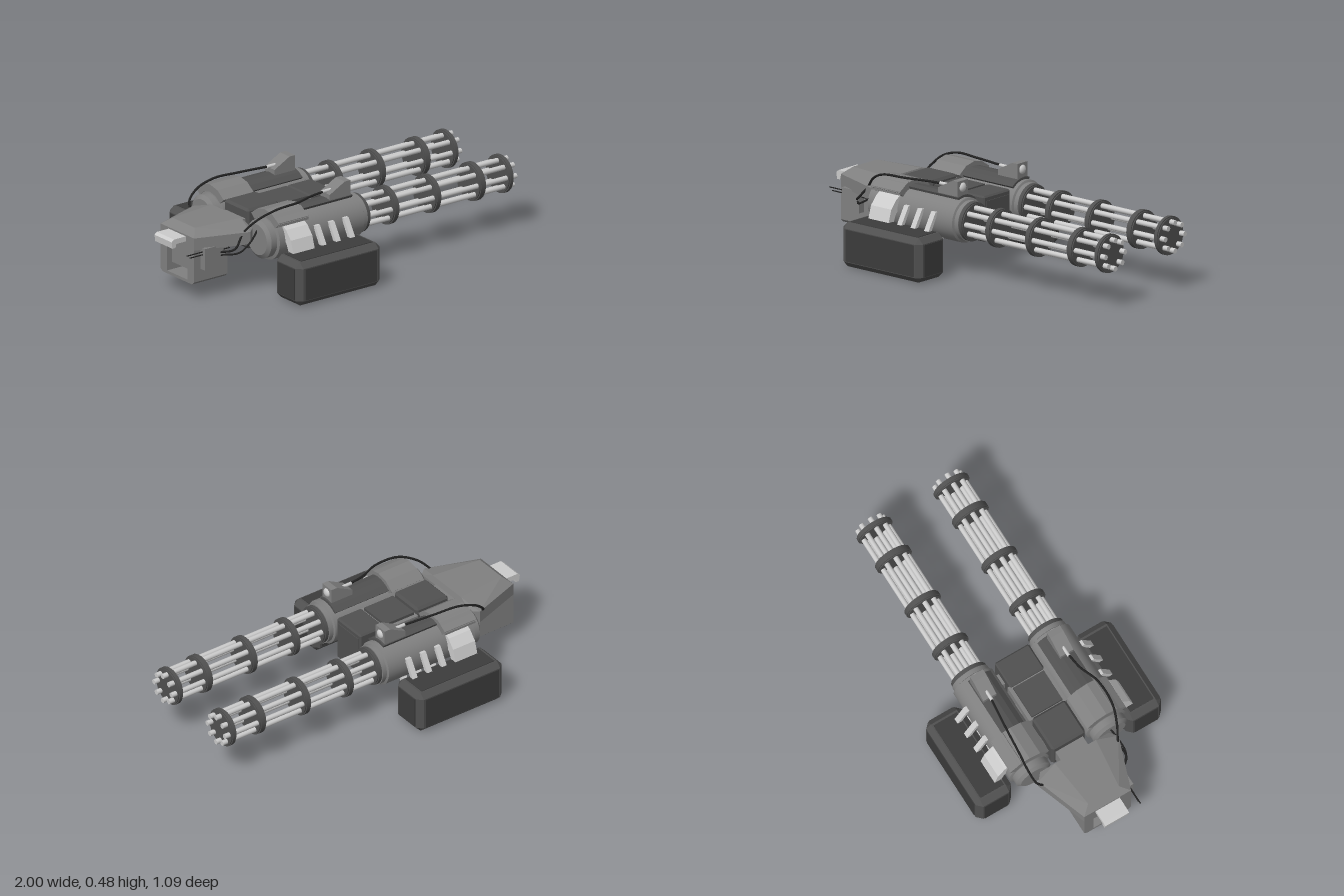
import * as THREE from 'three';
import { ConvexGeometry } from 'three/addons/geometries/ConvexGeometry.js';

const mat = (color, flatShading = false) => new THREE.MeshStandardMaterial({ color, flatShading, side: THREE.DoubleSide });
const light = mat(0xcccccc), grey = mat(0x808080), greyFlat = mat(0x808080, true);
const dark = mat(0x505050), darkFlat = mat(0x505050, true), black = mat(0x222222);
const V = (x, y, z) => new THREE.Vector3(x, y, z);

function add(parent, name, geometry, material) {
  const mesh = new THREE.Mesh(geometry, material);
  mesh.name = name;
  parent.add(mesh);
  return mesh;
}

// Box given by its limits on each axis
function box(parent, name, [x0, x1], [y0, y1], [z0, z1], material) {
  const g = new THREE.BoxGeometry(x1 - x0, y1 - y0, z1 - z0);
  g.translate((x0 + x1) / 2, (y0 + y1) / 2, (z0 + z1) / 2);
  return add(parent, name, g, material);
}

// Box with every edge cut by c
function chamferBox(parent, name, [x0, x1], [y0, y1], [z0, z1], c, material) {
  const pts = [];
  for (const [x, sx] of [[x0, 1], [x1, -1]])
    for (const [y, sy] of [[y0, 1], [y1, -1]])
      for (const [z, sz] of [[z0, 1], [z1, -1]])
        pts.push(V(x, y + sy * c, z + sz * c), V(x + sx * c, y, z + sz * c), V(x + sx * c, y + sy * c, z));
  return add(parent, name, new ConvexGeometry(pts), material);
}

// Cylinder along x
function rod(parent, name, x0, x1, r, y, z, material, sides = 32) {
  const g = new THREE.CylinderGeometry(r, r, x1 - x0, sides);
  g.rotateZ(Math.PI / 2);
  g.translate((x0 + x1) / 2, y, z);
  return add(parent, name, g, material);
}

// Outline in the z-y plane, extruded from x0 to x1
function slabX(parent, name, zy, x0, x1, material) {
  const shape = new THREE.Shape(zy.map(([z, y]) => new THREE.Vector2(-z, y)));
  const g = new THREE.ExtrudeGeometry(shape, { depth: x1 - x0, bevelEnabled: false });
  g.rotateY(Math.PI / 2);
  g.translate(x0, 0, 0);
  return add(parent, name, g, material);
}

function cable(parent, name, pts, r = 0.006) {
  const curve = new THREE.CatmullRomCurve3(pts.map(p => V(...p)));
  return add(parent, name, new THREE.TubeGeometry(curve, 48, r, 8), black);
}

// One rotary gun with its sight, s is the side
function gun(parent, s) {
  const g = new THREE.Group();
  g.name = s > 0 ? 'frontGun' : 'backGun';
  parent.add(g);
  const y = 0.28, z = s * 0.225;

  // Round housing with stepped ends
  const profile = [[0, -0.58], [0.08, -0.58], [0.1, -0.565], [0.1, -0.53], [0.115, -0.525], [0.115, 0.01], [0.104, 0.015], [0.104, 0.04], [0, 0.04]];
  const pts = [];
  profile.forEach(([r, x], i) => { // doubled points keep the steps sharp
    pts.push(new THREE.Vector2(r, x));
    if (i && i < profile.length - 1) pts.push(new THREE.Vector2(r, x + 0.0001));
  });
  const lathe = new THREE.LatheGeometry(pts, 40);
  lathe.rotateZ(-Math.PI / 2);
  lathe.translate(0, y, z);
  add(g, 'housing', lathe, grey);

  // Barrels and the discs that hold them
  for (let i = 0; i < 8; i++) {
    const a = i * Math.PI / 4;
    rod(g, 'barrel', 0.02, 1, 0.0135, y + 0.073 * Math.cos(a), z + 0.073 * Math.sin(a), light, 14);
  }
  for (const [x, w] of [[0.05, 0.03], [0.23, 0.036], [0.495, 0.036], [0.775, 0.04], [0.955, 0.03]]) {
    rod(g, 'barrelDisc', x - w / 2, x + w / 2, 0.094, y, z, dark);
    rod(g, 'discBand', x - w / 2 + 0.006, x + w / 2 - 0.006, 0.1, y, z, dark);
  }

  // Faceted armour over the housing
  const arc = (r, from, to, n) => Array.from({ length: n + 1 }, (_, i) => {
    const a = from + (to - from) * i / n;
    return [z + s * r * Math.sin(a), y + r * Math.cos(a)];
  });
  slabX(g, 'rearCover', [...arc(0.15, -0.85, 0.85, 4), ...arc(0.11, 0.85, -0.85, 4)], -0.53, -0.34, greyFlat);
  slabX(g, 'topCover', [...arc(0.128, -0.75, 0.35, 4), ...arc(0.11, 0.35, -0.75, 4)], -0.34, -0.01, darkFlat);
  slabX(g, 'coverLip', [[s * 0.27, 0.425], [s * 0.335, 0.385], [s * 0.335, 0.365], [s * 0.26, 0.41]], -0.53, -0.34, greyFlat);

  // Wedge sight with a round lens
  const side = new THREE.Shape([[-0.15, 0.4], [-0.02, 0.4], [-0.02, 0.48], [-0.055, 0.48], [-0.15, 0.43]].map(p => new THREE.Vector2(...p)));
  const wedge = new THREE.ExtrudeGeometry(side, { depth: 0.076, bevelEnabled: false });
  wedge.translate(0, 0, z - 0.038);
  add(g, 'sight', wedge, greyFlat);
  const lens = new THREE.SphereGeometry(0.024, 24, 12);
  lens.scale(0.6, 1, 1);
  lens.translate(-0.022, 0.445, z);
  add(g, 'sightLens', lens, light);
  rod(g, 'cablePlug', -0.17, -0.11, 0.009, 0.44, z, light, 12);
}

// Ammunition box with the chute and struts that carry it
function ammo(parent, s) {
  const g = new THREE.Group();
  g.name = s > 0 ? 'frontAmmoBox' : 'backAmmoBox';
  parent.add(g);
  const zr = (a, b) => s > 0 ? [a, b] : [-b, -a];
  chamferBox(g, 'boxShell', [-0.56, -0.03], [0.003, 0.232], zr(0.335, 0.542), 0.028, darkFlat);
  const panel = mat(0x3c3c3c);
  box(g, 'sidePanels', [-0.52, -0.07], [0.035, 0.2], zr(0.332, 0.545), panel);
  box(g, 'endPanels', [-0.564, -0.026], [0.035, 0.2], zr(0.37, 0.507), panel);
  box(g, 'lidPanels', [-0.52, -0.07], [0, 0.235], zr(0.37, 0.507), panel);

  // Curved feed chute
  slabX(g, 'feedChute', [[0.3, 0.37], [0.345, 0.345], [0.385, 0.3], [0.408, 0.225], [0.37, 0.225], [0.35, 0.27], [0.32, 0.3]]
    .map(([z, y]) => [s * z, y]), -0.49, -0.355, light);
  // Slanted struts, upper and lower
  for (const x of [-0.29, -0.2, -0.11]) {
    slabX(g, 'upperStrut', [[0.325, 0.325], [0.345, 0.325], [0.405, 0.225], [0.38, 0.225]].map(([z, y]) => [s * z, y]), x - 0.015, x + 0.015, light);
    slabX(g, 'lowerStrut', [[0.27, 0.2], [0.29, 0.215], [0.345, 0.14], [0.335, 0.11]].map(([z, y]) => [s * z, y]), x - 0.015, x + 0.015, light);
  }
}

function centre(parent) {
  const g = new THREE.Group();
  g.name = 'centralBody';
  parent.add(g);
  chamferBox(g, 'frontBlock', [-0.14, 0.012], [0.14, 0.375], [-0.1, 0.1], 0.008, darkFlat);
  box(g, 'frontPlate', [0.012, 0.016], [0.15, 0.35], [-0.085, 0.085], dark);
  box(g, 'middleBlock', [-0.34, -0.13], [0.19, 0.36], [-0.11, 0.11], grey);
  box(g, 'middlePanel', [-0.33, -0.15], [0.36, 0.375], [-0.09, 0.09], dark);
  chamferBox(g, 'rearBlock', [-0.54, -0.34], [0.18, 0.392], [-0.098, 0.098], 0.012, darkFlat);
  for (const x of [-0.45, -0.24, -0.06]) box(g, 'crossBrace', [x - 0.03, x + 0.03], [0.24, 0.31], [-0.15, 0.15], grey);
}

function rear(parent) {
  const g = new THREE.Group();
  g.name = 'rearMount';
  parent.add(g);
  // Tapered hood
  const hood = [];
  for (const s of [-1, 1])
    hood.push(V(-0.91, 0.27, s * 0.137), V(-0.91, 0.335, s * 0.137), V(-0.82, 0.27, s * 0.14), V(-0.63, 0.27, s * 0.235),
      V(-0.82, 0.335, s * 0.14), V(-0.63, 0.335, s * 0.235), V(-0.59, 0.27, s * 0.2), V(-0.59, 0.335, s * 0.2),
      V(-0.87, 0.37, s * 0.09), V(-0.6, 0.37, s * 0.12));
  add(g, 'hood', new ConvexGeometry(hood), greyFlat);
  box(g, 'neck', [-0.62, -0.52], [0.23, 0.34], [-0.08, 0.08], grey);

  // Hollow frame below the hood
  for (const s of [-1, 1])
    slabX(g, 'frameSide', [[s * 0.083, 0.085], [s * 0.12, 0.085], [s * 0.137, 0.1], [s * 0.137, 0.29], [s * 0.083, 0.29]], -0.91, -0.7, greyFlat);
  box(g, 'frameFloor', [-0.91, -0.7], [0.085, 0.1], [-0.084, 0.084], grey);
  box(g, 'frameFill', [-0.88, -0.7], [0.14, 0.29], [-0.084, 0.084], grey);

  // Hooked rear handle
  const hook = new THREE.Shape([[-0.88, 0.3], [-0.97, 0.3], [-0.975, 0.28], [-0.995, 0.28], [-1, 0.315], [-0.985, 0.327], [-0.88, 0.327]].map(p => new THREE.Vector2(...p)));
  const handle = new THREE.ExtrudeGeometry(hook, { depth: 0.14, bevelEnabled: false });
  handle.translate(0, 0, -0.07);
  add(g, 'handle', handle, light);

  // Control box with two thin aerials
  box(g, 'controlBox', [-0.87, -0.755], [0.165, 0.28], [0.135, 0.175], grey);
  for (const [x, y] of [[-0.97, 0.26], [-0.95, 0.245]]) rod(g, 'aerial', x, -0.7, 0.003, y, 0.155, black, 6);
}

export function createModel() {
  const root = new THREE.Group();
  root.name = 'twinRotaryGun';
  for (const s of [1, -1]) {
    gun(root, s);
    ammo(root, s);
  }
  centre(root);
  rear(root);

  // Loose cables to the sights
  cable(root, 'frontSightCable', [[-0.77, 0.24, 0.17], [-0.72, 0.26, 0.225], [-0.66, 0.33, 0.215], [-0.6, 0.39, 0.245],
    [-0.5, 0.435, 0.278], [-0.36, 0.443, 0.278], [-0.25, 0.44, 0.24], [-0.15, 0.44, 0.225]]);
  cable(root, 'backSightCable', [[-0.66, 0.32, -0.21], [-0.64, 0.36, -0.25], [-0.58, 0.41, -0.262],
    [-0.48, 0.442, -0.257], [-0.34, 0.443, -0.245], [-0.15, 0.44, -0.225]]);
  cable(root, 'lowerCable', [[-0.77, 0.225, 0.17], [-0.7, 0.24, 0.235], [-0.63, 0.28, 0.235], [-0.56, 0.34, 0.215]], 0.005);
  return root;
}
